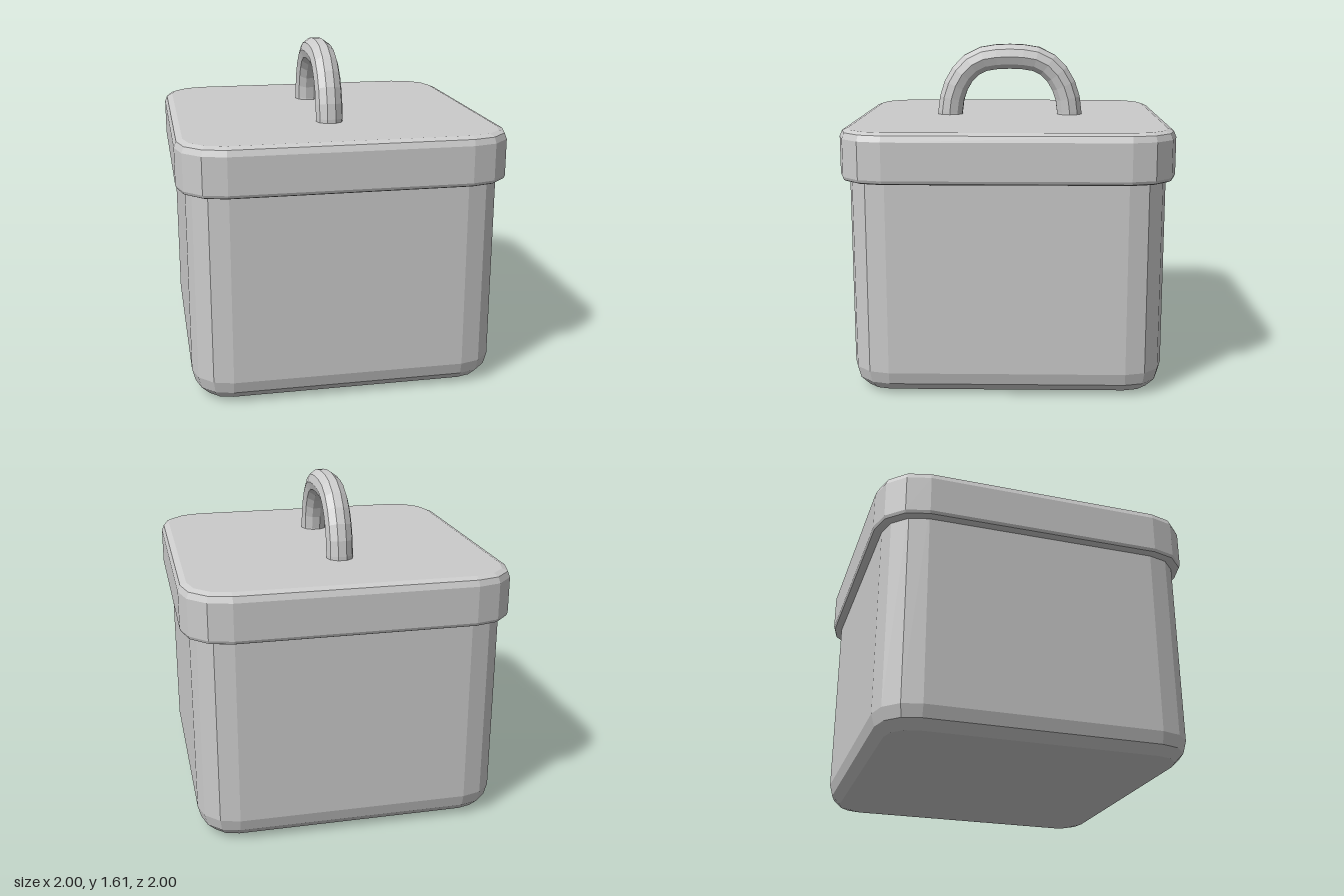
import * as THREE from 'three';

const material = new THREE.MeshStandardMaterial({ color: 0xcccccc, flatShading: true });
const CORNER_STEPS = 3;

// Outline of a rounded square, running from +x towards +z
function outline(half, radius, y) {
  const points = [];
  for (let q = 0; q < 4; q++) {
    const mid = (q + 0.5) * Math.PI / 2;
    const c = (half - radius) * Math.SQRT2;
    for (let s = 0; s <= CORNER_STEPS; s++) {
      const a = (q + s / CORNER_STEPS) * Math.PI / 2;
      points.push([c * Math.cos(mid) + radius * Math.cos(a), y, c * Math.sin(mid) + radius * Math.sin(a)]);
    }
  }
  return points;
}

// Closed rounded block from bottom to top with rounded lower and upper edges
function roundedBlock(half, radius, y0, y1, lower, upper) {
  const layers = [];
  for (let s = 0; s <= lower.steps; s++) {
    const a = s / lower.steps * Math.PI / 2;
    layers.push([lower.size * (1 - Math.sin(a)), y0 + lower.size * (1 - Math.cos(a))]);
  }
  for (let s = 0; s <= upper.steps; s++) {
    const a = s / upper.steps * Math.PI / 2;
    layers.push([upper.size * (1 - Math.cos(a)), y1 - upper.size * (1 - Math.sin(a))]);
  }
  const positions = [];
  const index = [];
  for (const [inset, y] of layers) positions.push(...outline(half - inset, radius - inset, y).flat());
  const n = 4 * (CORNER_STEPS + 1);
  const bottom = layers.length * n;
  const top = bottom + 1;
  positions.push(0, y0, 0, 0, y1, 0);
  const last = (layers.length - 1) * n;
  for (let i = 0; i < n; i++) {
    const j = (i + 1) % n;
    for (let k = 0; k < last; k += n) {
      index.push(k + i, k + n + i, k + j, k + j, k + n + i, k + n + j);
    }
    index.push(bottom, i, j, top, last + j, last + i);
  }
  const geometry = new THREE.BufferGeometry();
  geometry.setAttribute('position', new THREE.Float32BufferAttribute(positions, 3));
  geometry.setIndex(index);
  geometry.computeVertexNormals();
  return geometry;
}

function addPart(group, name, geometry) {
  const mesh = new THREE.Mesh(geometry, material);
  mesh.name = name;
  group.add(mesh);
  return mesh;
}

// Arched handle path: two elliptical shoulders joined by a short flat top
function handlePath() {
  const path = new THREE.CurvePath();
  const points = [new THREE.Vector3(0, 1.2, 0.31)];
  for (const side of [1, -1]) {
    for (let s = 0; s <= 4; s++) {
      const a = (side > 0 ? s : 4 - s) / 4 * Math.PI / 2;
      points.push(new THREE.Vector3(0, 1.25 + 0.297 * Math.sin(a), side * (0.085 + 0.225 * Math.cos(a))));
    }
  }
  points.push(new THREE.Vector3(0, 1.2, -0.31));
  return new THREE.CatmullRomCurve3(points);
}

export function createModel() {
  const model = new THREE.Group();
  model.name = 'liddedBox';

  // The whole box stands turned about its vertical axis
  const box = new THREE.Group();
  box.name = 'box';
  box.rotation.y = -0.6;
  model.add(box);

  addPart(box, 'body', roundedBlock(0.74, 0.185, 0, 1.1, { size: 0.115, steps: 3 }, { size: 0.01, steps: 1 }));
  addPart(box, 'lid', roundedBlock(0.782, 0.22, 1.02, 1.255, { size: 0.02, steps: 2 }, { size: 0.04, steps: 2 }));

  const handle = addPart(box, 'handle', new THREE.TubeGeometry(handlePath(), 16, 0.066, 10, false));
  handle.position.x = -0.02;

  return model;
}
